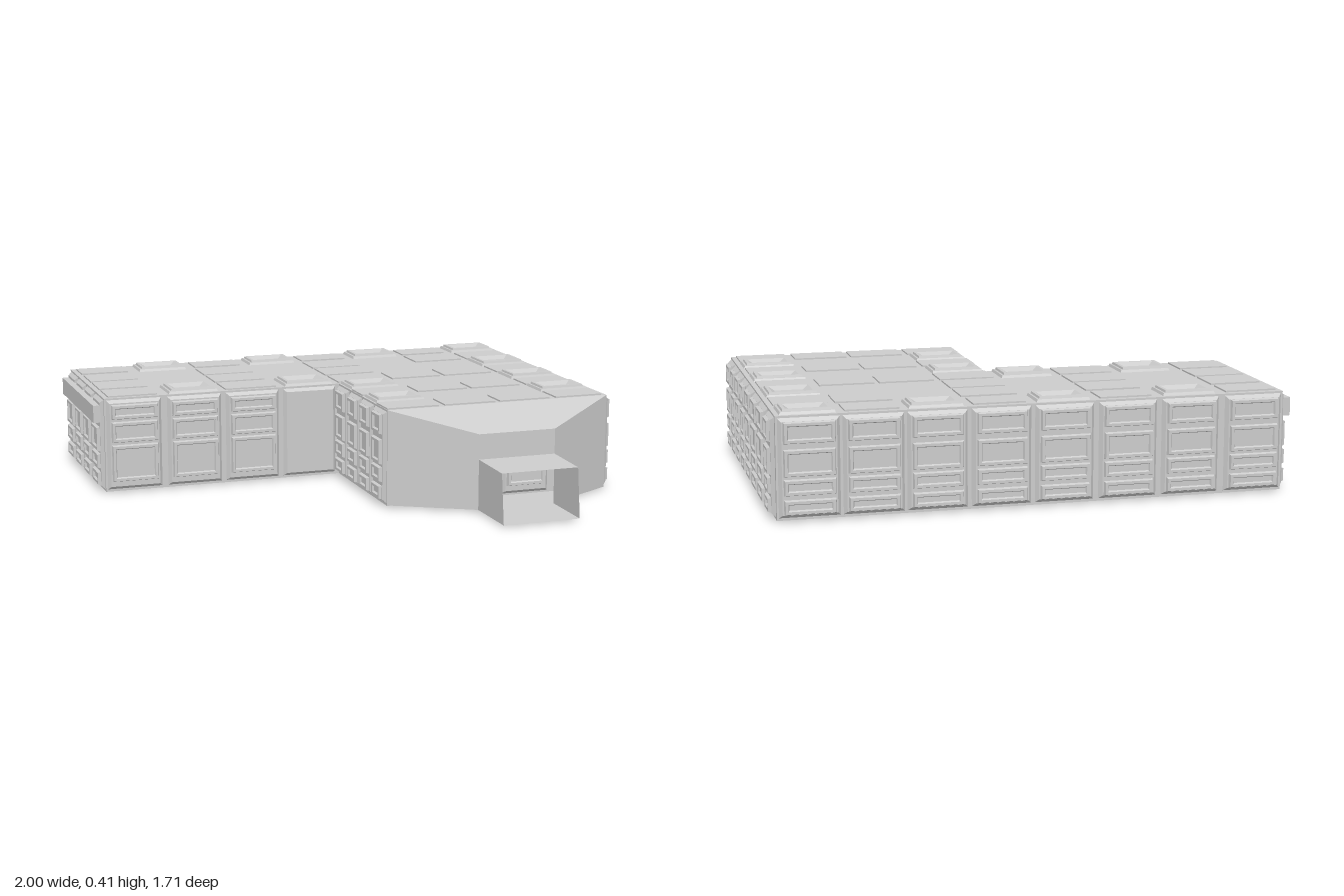
import * as THREE from 'three';

const material = new THREE.MeshStandardMaterial({ color: 0xcccccc, flatShading: true });
const openMaterial = new THREE.MeshStandardMaterial({ color: 0xcccccc, flatShading: true, side: THREE.DoubleSide });

// Joins four-cornered rings (counter-clockwise seen from +z) in order, with an optional cap
function loftRings(rings, cap) {
  const pos = [];
  const quad = (a, b, c, d) => pos.push(...a, ...b, ...c, ...a, ...c, ...d);
  for (let r = 0; r < rings.length - 1; r++) {
    for (let i = 0; i < 4; i++) {
      const j = (i + 1) % 4;
      quad(rings[r][i], rings[r][j], rings[r + 1][j], rings[r + 1][i]);
    }
  }
  if (cap) quad(...rings[rings.length - 1]);
  const geometry = new THREE.BufferGeometry();
  geometry.setAttribute('position', new THREE.Float32BufferAttribute(pos, 3));
  geometry.computeVertexNormals();
  return geometry;
}

const rect = (x0, x1, y0, y1, z0, z1 = z0) => [[x0, y0, z0], [x1, y0, z0], [x1, y1, z1], [x0, y1, z1]];

// Rectangular panel facing +z; steps are [inset, height] pairs from the rim inwards
function panel(name, w, h, steps, x = 0, y = 0, z = 0) {
  const rings = steps.map(([s, d]) => rect(s - w / 2, w / 2 - s, s - h / 2, h / 2 - s, d));
  const mesh = new THREE.Mesh(loftRings(rings, true), material);
  mesh.name = name;
  mesh.position.set(x, y, z);
  return mesh;
}

const BASE = [[0, 0], [0.012, 0.014]];
const RECESS = [[0, 0], [0.004, 0.012], [0.014, 0.012], [0.018, 0.004]];
const TILE = [[0, 0], [0, 0.006]];
const VENT = [[0, 0], [0.004, 0.01], [0.012, 0.01], [0.014, 0.018], [0.026, 0.018], [0.048, 0.004]];
const FOUR_ROWS = [[0.29, 0.37], [0.17, 0.27], [0.1, 0.16], [0.03, 0.085]];
const THREE_ROWS = [[0.305, 0.365], [0.21, 0.295], [0.05, 0.2]];

// Upright wall bay: a bevelled base carrying a stack of recessed panels
function wallBay(width, rows) {
  const bay = new THREE.Group();
  bay.name = 'wallBay';
  bay.add(panel('bayBase', width, 0.365, BASE, 0, 0.2, 0));
  for (const [y0, y1] of rows) {
    bay.add(panel('recessedPanel', width - 0.035, y1 - y0, RECESS, 0, (y0 + y1) / 2, 0.014));
  }
  return bay;
}

// Column and row layout shared by walls and roof
const COLS = [-0.84, -0.59, -0.345, -0.1, 0.14, 0.38, 0.615, 0.85];
const ROWS = [-0.745, -0.575, -0.405, -0.235, -0.08, 0.07, 0.215, 0.36];
const ROW_DEPTH = [0.12, 0.15, 0.15, 0.14, 0.12, 0.125, 0.12, 0.125];

function shapeFrom(points) {
  return points.map(([x, z]) => new THREE.Vector2(x, -z));
}

// Horizontal slab from a plan outline in x and z
function slab(name, outline, y0, y1, hole) {
  const shape = new THREE.Shape(shapeFrom(outline));
  if (hole) shape.holes.push(new THREE.Path(shapeFrom(hole)));
  const geometry = new THREE.ExtrudeGeometry(shape, { depth: y1 - y0, bevelEnabled: false });
  geometry.rotateX(-Math.PI / 2).translate(0, y0, 0);
  const mesh = new THREE.Mesh(geometry, material);
  mesh.name = name;
  return mesh;
}

export function createModel() {
  const model = new THREE.Group();
  model.name = 'corridorBuilding';

  // L-shaped body, with a shallow channel following the L underneath
  const plan = [[-0.96, -0.83], [0.97, -0.83], [0.97, 0.43], [0.03, 0.43], [0.03, -0.15], [-0.96, -0.15]];
  const channel = [[-0.93, -0.62], [0.73, -0.62], [0.73, 0.4], [0.27, 0.4], [0.27, -0.34], [-0.93, -0.34]];
  model.add(slab('body', plan, 0.035, 0.39));
  model.add(slab('bottomRim', plan, 0.008, 0.035, channel));

  // Wall bays on each side
  const addBay = (width, rows, x, z, turn) => {
    const bay = wallBay(width, rows);
    bay.position.set(x, 0, z);
    bay.rotation.y = turn;
    model.add(bay);
  };
  COLS.forEach((x) => addBay(0.225, FOUR_ROWS, x, -0.83, Math.PI));
  COLS.slice(0, 3).forEach((x) => addBay(0.225, THREE_ROWS, x, -0.15, 0));
  addBay(0.225, [], COLS[3], -0.15, 0);
  ROWS.forEach((z, i) => addBay(ROW_DEPTH[i] + 0.01, FOUR_ROWS, 0.97, z, Math.PI / 2));
  ROWS.slice(4).forEach((z) => addBay(0.13, FOUR_ROWS, 0.03, z, -Math.PI / 2));
  ROWS.slice(0, 4).forEach((z) => addBay(0.15, FOUR_ROWS.slice(1), -0.96, z, -Math.PI / 2));
  COLS.slice(5, 7).forEach((x) => addBay(0.2, THREE_ROWS, x, 0.43, 0));

  // Ledge across the end of the wing
  const ledge = new THREE.Mesh(new THREE.BoxGeometry(0.05, 0.07, 0.64), material);
  ledge.name = 'endLedge';
  ledge.position.set(-0.975, 0.325, -0.49);
  model.add(ledge);

  // Roof: one string per row, v = vent, t = flat tile
  const roof = ['tvtvtvtv', 't.t.t.tt', 't.t.t..v', 'tvtvtttt', '....v..v', '....tttt', '....v..v', '....tttt'];
  roof.forEach((line, r) => [...line].forEach((kind, c) => {
    if (kind === '.') return;
    const wide = c > 0 && c < 7 && r > 0 ? 0.215 : 0.2;
    const part = kind === 'v'
      ? panel('roofVent', 0.205, ROW_DEPTH[r] + 0.02, VENT)
      : panel('roofTile', wide, ROW_DEPTH[r], TILE);
    part.position.set(COLS[c], 0.39, ROWS[r]);
    part.rotation.x = -Math.PI / 2;
    model.add(part);
  }));

  // Thin tiles on the underside, along both edges of the channel
  const under = (x, z) => {
    const tile = panel('undersideTile', 0.15, 0.09, TILE, x, 0.008, z);
    tile.rotation.x = Math.PI / 2;
    model.add(tile);
  };
  [0, 2, 4, 6].forEach((c) => under(COLS[c], -0.73));
  [0, 2].forEach((c) => under(COLS[c], -0.24));
  [1, 3, 5, 7].forEach((r) => under(0.85, ROWS[r]));
  [5, 7].forEach((r) => under(0.14, ROWS[r]));

  // Tapered hollow front running into an open square duct with a slanted mouth
  const front = new THREE.Mesh(loftRings([
    rect(0.03, 0.97, 0.01, 0.39, 0.43),
    rect(0.34, 0.66, 0.01, 0.31, 0.61),
    rect(0.34, 0.66, 0.01, 0.21, 0.61),
    rect(0.34, 0.655, 0.01, 0.205, 0.855, 0.83),
  ], false), openMaterial);
  front.name = 'taperedFrontAndDuct';
  model.add(front);

  return model;
}
